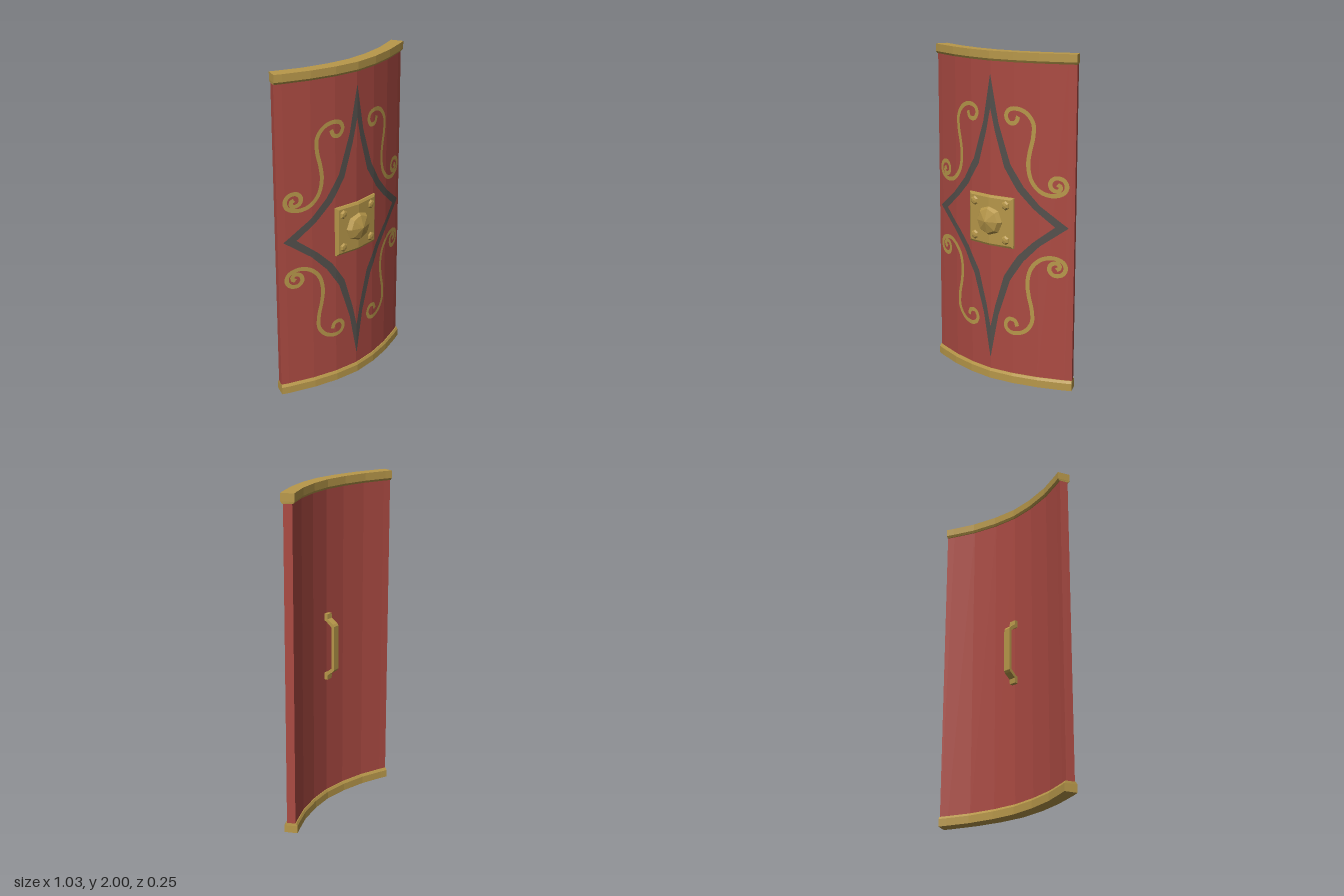
import * as THREE from 'three';

// Half plan of the curved board (x, z), mirrored to both sides
const FRONT = [[0, 0.066], [0.157, 0.049], [0.31, 0.011], [0.465, -0.047], [0.509, -0.067]];
const BACK = [[0, 0.011], [0.152, -0.004], [0.31, -0.041], [0.445, -0.094], [0.488, -0.113]];
const mirrorRow = (row) => [...row.slice(1).reverse().map(([x, z]) => [-x, z]), ...row];

// Depth of the board's front face at x
function frontZ(x) {
  const a = Math.abs(x);
  let i = 0;
  while (i < FRONT.length - 2 && a > FRONT[i + 1][0]) i++;
  const [x0, z0] = FRONT[i], [x1, z1] = FRONT[i + 1];
  return z0 + (z1 - z0) * (a - x0) / (x1 - x0);
}

function flatGeometry(positions) {
  const g = new THREE.BufferGeometry();
  g.setAttribute('position', new THREE.Float32BufferAttribute(positions, 3));
  g.computeVertexNormals();
  return g;
}

// Closed solid through stacked loops; each loop is one row out and one row back
function loft(loops) {
  const pos = [], m = loops[0].length;
  const quad = (a, b, c, d) => pos.push(...a, ...b, ...c, ...a, ...c, ...d);
  for (let k = 0; k < loops.length - 1; k++)
    for (let i = 0; i < m; i++) {
      const j = (i + 1) % m;
      quad(loops[k][i], loops[k][j], loops[k + 1][j], loops[k + 1][i]);
    }
  const lo = loops[0], hi = loops[loops.length - 1];
  for (let i = 0; i < m / 2 - 1; i++) {
    const p = m - 2 - i, q = m - 1 - i;
    quad(hi[i], hi[i + 1], hi[p], hi[q]);
    quad(lo[q], lo[p], lo[i + 1], lo[i]);
  }
  return flatGeometry(pos);
}

// Board outline at height y, grown outward by t
function boardLoop(y, t) {
  const f = mirrorRow(FRONT).map(([x, z]) => [x * (1 + t), y, z + t]);
  const b = mirrorRow(BACK).reverse().map(([x, z]) => [x * (1 - t * 0.4), y, z - t]);
  return [...f, ...b];
}

// Plate outline following the board, lifted by dz
function plateLoop(w, h, dz) {
  const xs = [-w, -w / 2, 0, w / 2, w];
  const row = (y) => xs.map((x) => [x, 1 + y, frontZ(x) + dz]);
  return [...row(-h), ...row(h).reverse()];
}

// Painted strip between two matching edges, laid on the board and mirrored by sx, sy
function paintedStrip(left, right, sx, sy) {
  const pos = [];
  const put = (p) => pos.push(sx * p.x, 1 + sy * p.y, frontZ(p.x) + 0.004);
  for (let i = 0; i < left.length - 1; i++) {
    const [a, b, c, d] = [left[i], right[i], right[i + 1], left[i + 1]];
    const mid = (p, q) => p.clone().lerp(q, 0.5);
    const ab = mid(a, b), dc = mid(d, c);
    for (const t of [[a, ab, dc], [a, dc, d], [ab, b, c], [ab, c, dc]]) {
      const area = (t[1].x - t[0].x) * (t[2].y - t[0].y) - (t[1].y - t[0].y) * (t[2].x - t[0].x);
      if (area * sx * sy < 0) t.reverse();
      t.forEach(put);
    }
  }
  return flatGeometry(pos);
}

// Faceted dome pointing forward
function stud(profile, sides) {
  const g = new THREE.LatheGeometry(profile.map(([r, h]) => new THREE.Vector2(r, h)), sides);
  g.rotateX(Math.PI / 2);
  const flat = g.toNonIndexed();
  flat.computeVertexNormals();
  return flat;
}

// Resample a polyline into short straight pieces
function subdivide(points, n) {
  const out = [];
  points.forEach(([x, y], i) => {
    if (i === points.length - 1) { out.push(new THREE.Vector2(x, y)); return; }
    const [u, v] = points[i + 1];
    for (let k = 0; k < n; k++) out.push(new THREE.Vector2(x + (u - x) * k / n, y + (v - y) * k / n));
  });
  return out;
}

export function createModel() {
  const group = new THREE.Group();
  const material = (name, color) => {
    const m = new THREE.MeshStandardMaterial({ color });
    m.name = name;
    return m;
  };
  const red = material('red paint', 0xab4a42);
  const gold = material('brass', 0xb8984a);
  const dark = material('charcoal paint', 0x54504c);
  const add = (name, geometry, mat) => {
    const mesh = new THREE.Mesh(geometry, mat);
    mesh.name = name;
    group.add(mesh);
    return mesh;
  };

  // Curved board with chamfered brass trims
  add('board', loft([boardLoop(0.02, 0), boardLoop(1.98, 0)]), red);
  add('bottomTrim', loft([boardLoop(0, 0.013), boardLoop(0.045, 0.013), boardLoop(0.06, 0.005)]), gold);
  add('topTrim', loft([boardLoop(1.942, 0.005), boardLoop(1.955, 0.013), boardLoop(2, 0.013)]), gold);

  // Central plate, boss and rivets
  add('bossPlate', loft([plateLoop(0.163, 0.153, -0.01), plateLoop(0.163, 0.153, 0.012),
    plateLoop(0.15, 0.14, 0.019)]), gold);
  add('boss', stud([[0.095, 0], [0.092, 0.01], [0.075, 0.034], [0, 0.058]], 8), gold).position.set(0, 1, 0.068);
  for (const sx of [-1, 1])
    for (const sy of [-1, 1])
      add('rivet', stud([[0.03, -0.005], [0.028, 0.005], [0.019, 0.013], [0, 0.016]], 6), gold)
        .position.set(sx * 0.114, 1 + sy * 0.105, frontZ(0.114) + 0.016);

  // Four-pointed star outline
  const outer = subdivide([[0, 0.87], [0.055, 0.59], [0.135, 0.355], [0.22, 0.225], [0.32, 0.12], [0.48, 0]], 6);
  const inner = subdivide([[0, 0.67], [0.033, 0.53], [0.095, 0.33], [0.185, 0.195], [0.275, 0.105], [0.405, 0]], 6);

  // Scroll with a curl at each end
  const path = new THREE.CatmullRomCurve3([
    [0.185, 0.635], [0.17, 0.6], [0.13, 0.595], [0.107, 0.63], [0.12, 0.665], [0.165, 0.68],
    [0.23, 0.66], [0.275, 0.6], [0.275, 0.52], [0.255, 0.43], [0.247, 0.35], [0.27, 0.26],
    [0.33, 0.2], [0.4, 0.186], [0.455, 0.21], [0.467, 0.25], [0.445, 0.285], [0.4, 0.29],
    [0.375, 0.26], [0.385, 0.225], [0.42, 0.215], [0.435, 0.24], [0.415, 0.255],
  ].map(([x, y]) => new THREE.Vector3(x, y, 0)));
  const edgeA = [], edgeB = [], steps = 120;
  for (let i = 0; i <= steps; i++) {
    const p = path.getPointAt(i / steps), t = path.getTangentAt(i / steps), w = 0.0125;
    edgeA.push(new THREE.Vector2(p.x - t.y * w, p.y + t.x * w));
    edgeB.push(new THREE.Vector2(p.x + t.y * w, p.y - t.x * w));
  }
  for (const sx of [-1, 1])
    for (const sy of [-1, 1]) {
      add('starOutline', paintedStrip(outer, inner, sx, sy), dark);
      add('scroll', paintedStrip(edgeA, edgeB, sx, sy), gold);
    }

  // Rear grip: feet against the board, bar standing off behind
  const half = [[-0.015, 0.205], [0.012, 0.205], [0.015, 0.175], [0.052, 0.148], [0.061, 0.135]];
  const hollow = [[0.042, 0.128], [0.003, 0.16], [-0.015, 0.165]];
  const side = [...half.map(([s, y]) => [s, -y]), ...half.slice().reverse(),
    ...hollow.slice().reverse(), ...hollow.map(([s, y]) => [s, -y])];
  const grip = new THREE.ExtrudeGeometry(new THREE.Shape(side.map(([s, y]) => new THREE.Vector2(s, y))),
    { depth: 0.044, bevelEnabled: false });
  grip.rotateY(Math.PI / 2).translate(-0.022, 1, 0);
  add('handle', grip, gold);

  return group;
}
